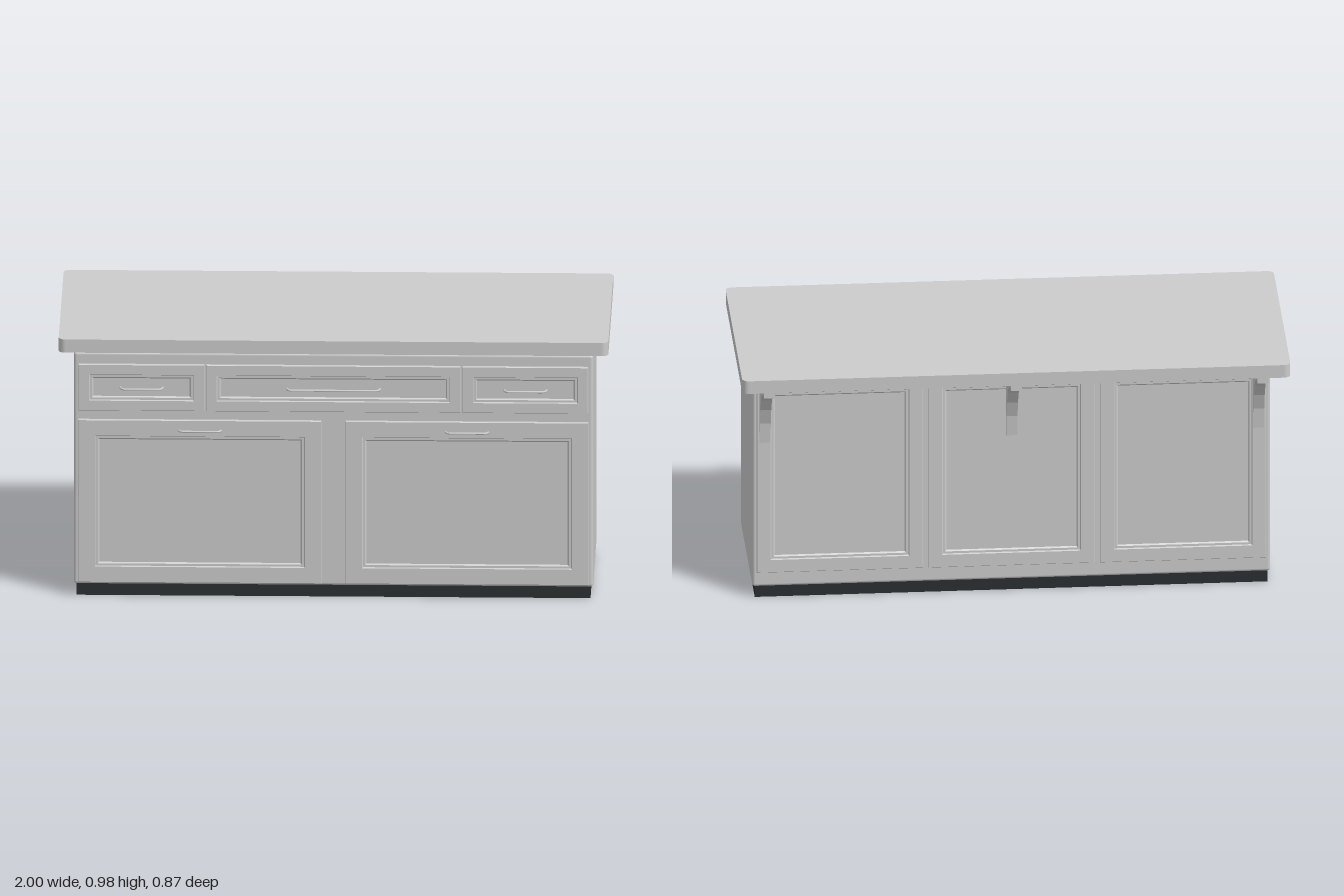
import * as THREE from 'three';
import { RoundedBoxGeometry } from 'three/addons/geometries/RoundedBoxGeometry.js';

const grey = new THREE.MeshStandardMaterial({ color: 0xcccccc });
const dark = new THREE.MeshStandardMaterial({ color: 0x2b2f31 });

function add(parent, name, geometry, material = grey) {
  const mesh = new THREE.Mesh(geometry, material);
  mesh.name = name;
  parent.add(mesh);
  return mesh;
}

// Panel front facing +z, lofted through nested rectangles: [inset, depth]
function panelGeometry(w, h, border, d) {
  const rings = [
    [0, 0], [0, d - 0.002], [0.002, d], [border, d], [border + 0.003, d - 0.005],
    [border + 0.011, d - 0.005], [border + 0.016, d - 0.009],
  ];
  const corner = ([inset, z], k) => {
    const sx = k === 0 || k === 3 ? -1 : 1;
    const sy = k < 2 ? -1 : 1;
    return [sx * (w / 2 - inset), sy * (h / 2 - inset), z];
  };
  const pos = [];
  const quad = (a, b, c, e) => pos.push(...a, ...b, ...c, ...a, ...c, ...e);
  for (let i = 0; i < rings.length - 1; i++) {
    for (let k = 0; k < 4; k++) {
      const n = (k + 1) % 4;
      quad(corner(rings[i], k), corner(rings[i], n), corner(rings[i + 1], n), corner(rings[i + 1], k));
    }
  }
  const last = rings[rings.length - 1];
  quad(corner(last, 0), corner(last, 1), corner(last, 2), corner(last, 3));
  const g = new THREE.BufferGeometry();
  g.setAttribute('position', new THREE.Float32BufferAttribute(pos, 3));
  g.computeVertexNormals();
  return g;
}

// Slim bow pull whose ends sink into the front
function handleGeometry(length) {
  const h = length / 2;
  const path = new THREE.CurvePath();
  const points = [[-h, 0], [-h + 0.004, 0.013], [-h + 0.014, 0.018], [h - 0.014, 0.018], [h - 0.004, 0.013], [h, 0]]
    .map(([x, z]) => new THREE.Vector3(x, 0, z));
  for (let i = 0; i < points.length - 1; i++) path.add(new THREE.LineCurve3(points[i], points[i + 1]));
  return new THREE.TubeGeometry(path, 40, 0.004, 8);
}

function roundedRect(w, h, r) {
  const s = new THREE.Shape();
  const x = w / 2 - r, y = h / 2 - r;
  s.absarc(x, y, r, 0, Math.PI / 2);
  s.absarc(-x, y, r, Math.PI / 2, Math.PI);
  s.absarc(-x, -y, r, Math.PI, Math.PI * 1.5);
  s.absarc(x, -y, r, Math.PI * 1.5, Math.PI * 2);
  s.closePath();
  return s;
}

export function createModel() {
  const group = new THREE.Group();
  group.name = 'kitchenIsland';

  // Plinth and cabinet body
  add(group, 'plinth', new THREE.BoxGeometry(1.87, 0.06, 0.55), dark).position.set(0, 0.03, 0.115);
  add(group, 'cabinetBody', new RoundedBoxGeometry(1.89, 0.885, 0.572, 3, 0.011)).position.set(0, 0.4875, 0.115);

  // Countertop slab with rounded corners
  const slab = new THREE.ExtrudeGeometry(roundedRect(2, 0.841, 0.025), { depth: 0.05, bevelEnabled: false, curveSegments: 5 });
  slab.rotateX(-Math.PI / 2);
  add(group, 'countertop', slab).position.set(0, 0.93, -0.009);

  // Drawer and door fronts: [name, x, y, width, height, border, handle y, handle length]
  const fronts = [
    ['rightDrawer', -0.698, 0.798, 0.458, 0.176, 0.038, 0.797, 0.155],
    ['centerDrawer', 0, 0.798, 0.926, 0.176, 0.038, 0.797, 0.34],
    ['leftDrawer', 0.698, 0.798, 0.458, 0.176, 0.038, 0.797, 0.155],
    ['rightDoor', -0.486, 0.365, 0.884, 0.62, 0.06, 0.637, 0.155],
    ['leftDoor', 0.486, 0.365, 0.884, 0.62, 0.06, 0.637, 0.155],
  ];
  for (const [name, x, y, w, h, border, handleY, length] of fronts) {
    const front = new THREE.Group();
    front.name = name;
    front.position.set(x, y, 0.4);
    add(front, 'panel', panelGeometry(w, h, border, 0.013));
    // Drawer pulls start at the recessed panel, door pulls at the frame
    const onFrame = h > 0.3;
    const pull = add(front, 'handle', handleGeometry(length));
    pull.position.set(0, handleY - y, onFrame ? 0.012 : 0.004);
    pull.scale.z = onFrame ? 1 : 1.44;
    group.add(front);
  }

  // Back panels
  for (const i of [-1, 0, 1]) {
    const panel = add(group, 'backPanel', panelGeometry(0.606, 0.765, 0.05, 0.013));
    panel.rotation.y = Math.PI;
    panel.position.set(i * 0.626, 0.4875, -0.17);
  }

  // Corbels carrying the overhang
  const profile = [
    [0.165, 0.93], [0.165, 0.625], [0.185, 0.625], [0.198, 0.63], [0.206, 0.71], [0.23, 0.775],
    [0.265, 0.828], [0.31, 0.87], [0.365, 0.897], [0.42, 0.905], [0.42, 0.93],
  ].map(([x, y]) => new THREE.Vector2(x, y));
  const corbel = new THREE.ExtrudeGeometry(new THREE.Shape(profile), { depth: 0.04, bevelEnabled: false });
  corbel.translate(0, 0, -0.02).rotateY(Math.PI / 2);
  for (const x of [-0.9, 0, 0.9]) add(group, 'corbel', corbel).position.x = x;

  return group;
}
